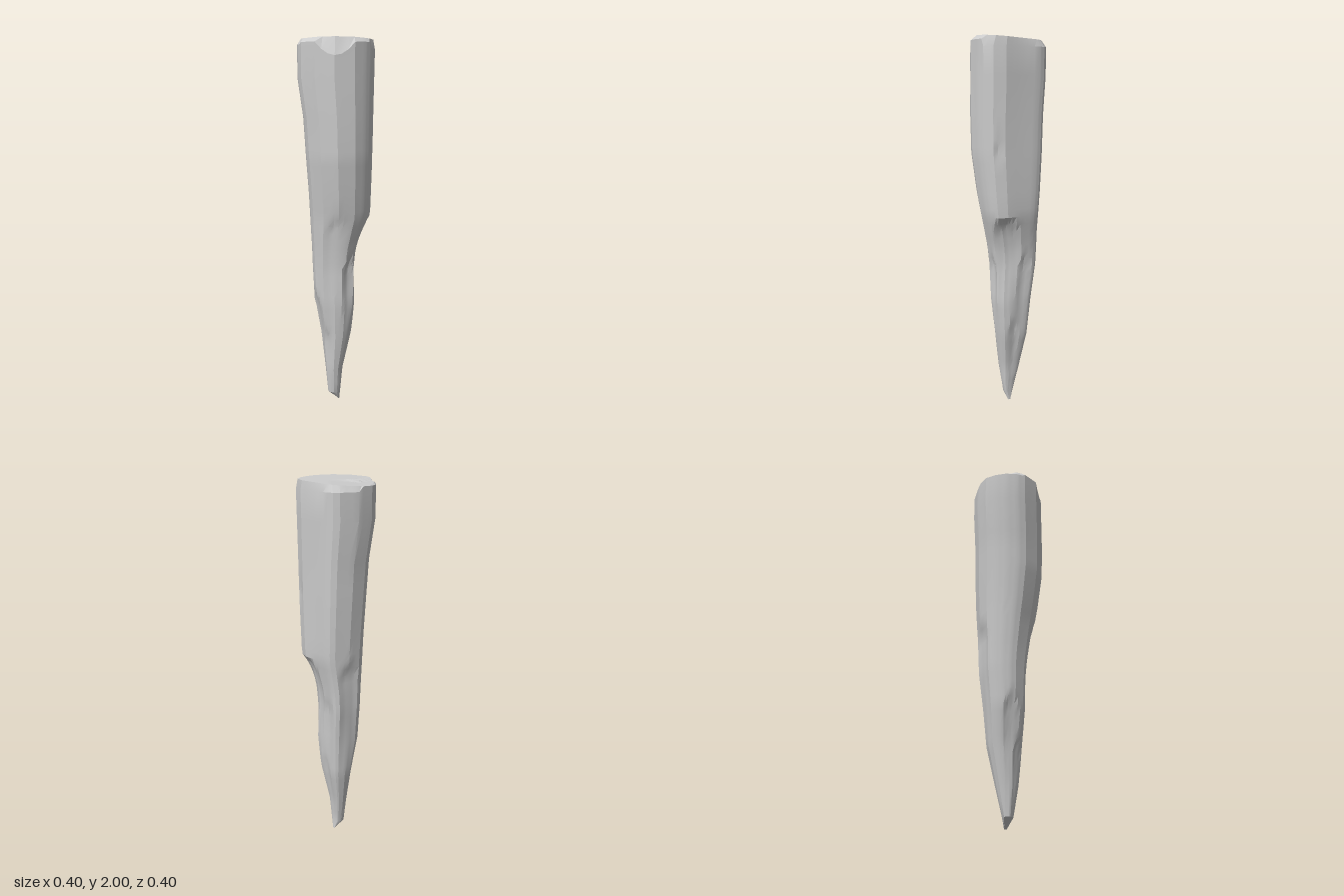
import * as THREE from 'three';
import { toCreasedNormals } from 'three/addons/utils/BufferGeometryUtils.js';

// Outline of the shaft seen from above, in units of its half width: [x, z]
const OUTLINE = [
  [1, 0.17], [0.9, 0.45], [0.77, 0.62], [0.5, 0.86], [0, 1], [-0.5, 0.86], [-0.86, 0.54], [-0.96, 0.33],
  [-1, 0], [-0.95, -0.3], [-0.82, -0.6], [-0.47, -0.86], [0, -1], [0.17, -0.98], [0.28, -0.9], [0.6, -0.5],
  [0.9, -0.14],
];
const SPLIT = 3; // points per outline edge

// Extents of the shaft by height: [y, left x, right x, back z, front z]
const EXTENTS = [
  [0, 0.0, 0.02, -0.02, 0.0], [0.05, -0.045, 0.022, -0.025, 0.03], [0.2, -0.06, 0.036, -0.06, 0.055],
  [0.4, -0.085, 0.08, -0.105, 0.075], [0.6, -0.12, 0.11, -0.125, 0.098], [0.8, -0.13, 0.115, -0.15, 0.108],
  [0.9, -0.133, 0.125, -0.155, 0.118], [1.0, -0.138, 0.155, -0.16, 0.133], [1.09, -0.142, 0.182, -0.168, 0.147],
  [1.2, -0.147, 0.185, -0.175, 0.167], [1.4, -0.16, 0.19, -0.183, 0.195], [1.6, -0.172, 0.192, -0.187, 0.2],
  [1.8, -0.2, 0.195, -0.197, 0.2], [1.93, -0.2, 0.197, -0.197, 0.2], [2, -0.188, 0.188, -0.175, 0.165],
];

// Carved cuts: angle round the shaft, top, bottom, half width, depth (share of radius)
const CUTS = [
  [-0.05, 1.08, 0.45, 0.6, 0.24], [1.65, 1.1, 0.3, 0.38, 0.1], [-0.9, 0.87, 0.4, 0.4, 0.13],
  [0.85, 0.86, 0.45, 0.35, 0.14], [2.75, 0.66, 0.12, 0.45, 0.15], [-2.1, 1.07, 0.4, 0.5, 0.12],
  [2.2, 0.45, 0.05, 0.5, 0.14], [-0.4, 0.5, 0.05, 0.5, 0.14], [0.04, 1.48, 1.36, 0.16, 0.06],
];

const clamp = THREE.MathUtils.clamp;
const lerp = THREE.MathUtils.lerp;

function extentsAt(y) {
  let i = 0;
  while (i < EXTENTS.length - 2 && EXTENTS[i + 1][0] < y) i++;
  const t = (y - EXTENTS[i][0]) / (EXTENTS[i + 1][0] - EXTENTS[i][0]);
  return EXTENTS[i].map((v, k) => lerp(v, EXTENTS[i + 1][k], t));
}

// A cut starts with a short arched step and runs out downwards
function cutDepth(angle, y) {
  let depth = 0;
  for (const [a, top, bottom, width, d] of CUTS) {
    const u = Math.atan2(Math.sin(angle - a), Math.cos(angle - a)) / width;
    if (Math.abs(u) >= 1) continue;
    const arch = top - 0.08 * u * u;
    if (y >= arch || y <= bottom) continue;
    const step = clamp((arch - y) / 0.05, 0, 1);
    const runOut = clamp((y - bottom) / (0.6 * (top - bottom)), 0, 1);
    depth = Math.max(depth, d * (1 - u * u) * step * runOut);
  }
  return depth;
}

function ringAt(y) {
  const [, x0, x1, z0, z1] = extentsAt(y);
  const ring = [];
  OUTLINE.forEach((p, i) => {
    const q = OUTLINE[(i + 1) % OUTLINE.length];
    for (let k = 0; k < SPLIT; k++) {
      const nx = lerp(p[0], q[0], k / SPLIT), nz = lerp(p[1], q[1], k / SPLIT);
      const s = 1 - cutDepth(Math.atan2(nz, nx), y);
      ring.push(new THREE.Vector3((x0 + x1) / 2 + (x1 - x0) / 2 * nx * s, y, (z0 + z1) / 2 + (z1 - z0) / 2 * nz * s));
    }
  });
  return ring;
}

// Skins a stack of rings, from the bottom up or from the rim inwards
function loft(rings, crease) {
  const n = rings[0].length;
  const index = [];
  for (let i = 0; i < rings.length - 1; i++) {
    for (let j = 0; j < n; j++) {
      const a = i * n + j, b = i * n + (j + 1) % n;
      index.push(a, a + n, b, b, a + n, b + n);
    }
  }
  const geometry = new THREE.BufferGeometry().setFromPoints(rings.flat());
  geometry.setIndex(index);
  return toCreasedNormals(geometry, crease);
}

// Sawn top falls slightly to the back, with a split on one side
function topHeight(x, z) {
  const slope = 2 - 0.025 * clamp(0.5 - z / 0.34, 0, 1);
  const splitLine = x < -0.1 ? -0.005 + (-0.1 - x) * 0.8 : -0.01;
  const behind = clamp((splitLine - z) / 0.02, 0, 1) * clamp((splitLine + 0.12 - z) / 0.12, 0, 1);
  return slope - 0.012 * behind * clamp((0.04 - x) / 0.15, 0, 1);
}

export function createModel() {
  const group = new THREE.Group();
  group.name = 'woodenStake';
  const material = new THREE.MeshStandardMaterial({ color: 0xcccccc });

  // Shaft: rings close together where it is carved
  const heights = [0, 0.05];
  for (let y = 0.12; y < 1.14; y += 0.04) heights.push(y);
  heights.push(1.2, 1.3, 1.36, 1.4, 1.44, 1.48, 1.6, 1.8);
  const rings = heights.map(ringAt);

  // Worn upper edge with a scalloped chip at the front
  rings.push(ringAt(1.93).map((p) => {
    if (p.z > 0.1) p.y = Math.min(1.975, 1.91 + 0.065 * (p.x / 0.1) ** 2);
    else p.y = p.x < -0.1 ? 1.965 : 1.94;
    return p;
  }));
  const rim = ringAt(2).map((p) => p.setY(topHeight(p.x, p.z)));
  rings.push(rim);

  // Blunt slanted tip
  const tip = new THREE.Vector3(0.012, 0, -0.008);
  rings[0].forEach((p) => p.lerp(tip, 0.3).setY(clamp(0.012 - p.x, 0, 0.02)));
  rings.unshift(rings[0].map((p) => p.clone().lerp(tip, 0.97)));
  const shaft = new THREE.Mesh(loft(rings, 0.35), material);
  shaft.name = 'carvedShaft';
  group.add(shaft);

  // Top face
  const capRings = [1, 0.85, 0.7, 0.55, 0.4, 0.25, 0.1, 0.002].map((s) => rim.map((p) => {
    const x = p.x * s, z = p.z * s;
    return new THREE.Vector3(x, topHeight(x, z), z);
  }));
  const top = new THREE.Mesh(loft(capRings, 0.3), material);
  top.name = 'topFace';
  group.add(top);

  return group;
}
